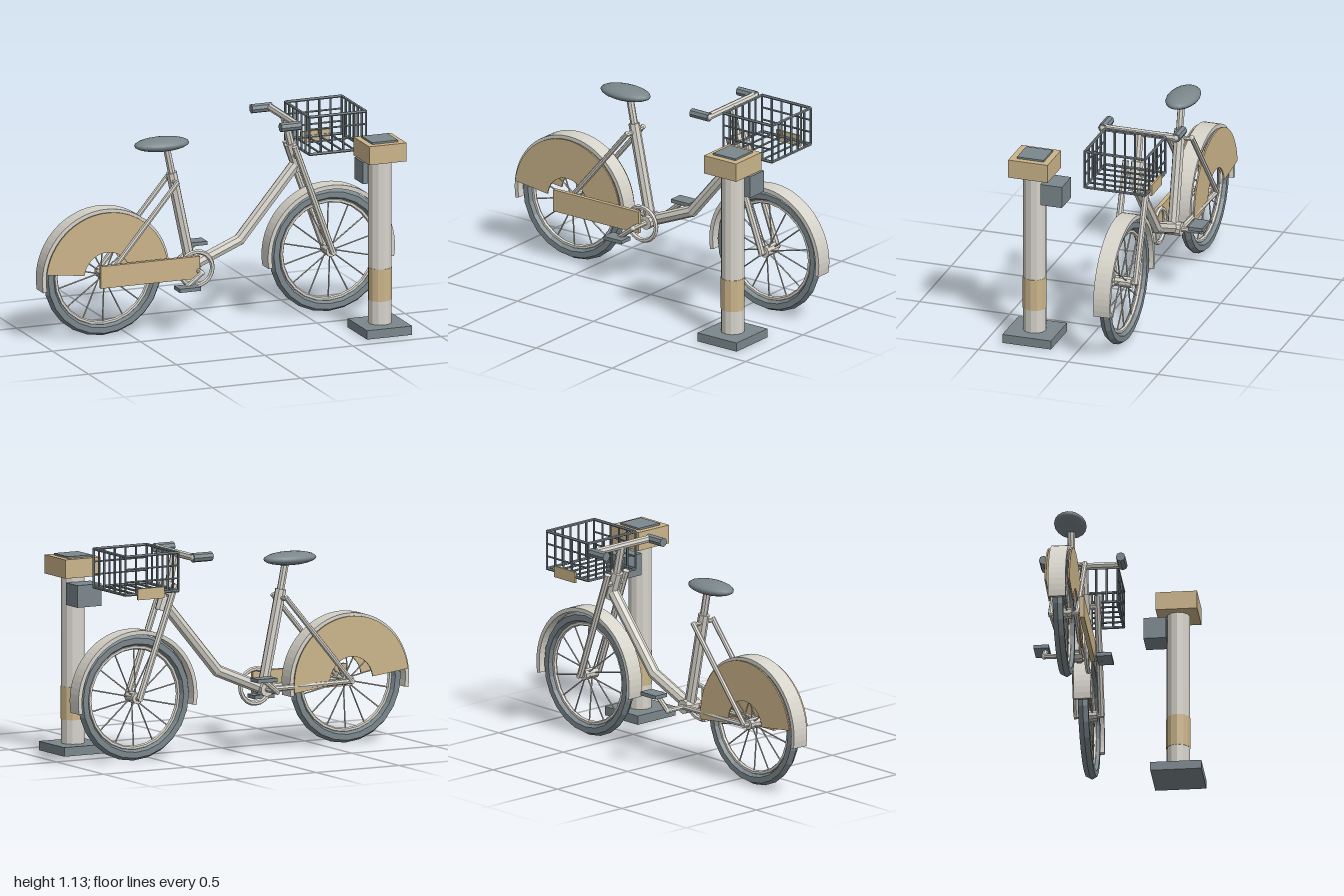
import * as THREE from 'three';

const mat = (name, color) => Object.assign(new THREE.MeshStandardMaterial({ color }), { name });
const V = (x, y, z) => new THREE.Vector3(x, y, z);

export function createModel() {
  const silver = mat('silver', 0xd6d3ca);
  const slate = mat('slate', 0x7b878c);
  const tan = mat('tan', 0xcbb48a);
  const root = new THREE.Group();
  root.name = 'bikeAndDock';

  // faceted normals for the low-poly look
  const facet = (g) => {
    const f = g.index ? g.toNonIndexed() : g;
    f.computeVertexNormals();
    return f;
  };
  const add = (parent, name, geo, material, x = 0, y = 0, z = 0) => {
    const m = new THREE.Mesh(geo, material);
    m.name = name;
    m.position.set(x, y, z);
    parent.add(m);
    return m;
  };
  const group = (name, parent, x = 0, y = 0, z = 0) => {
    const g = new THREE.Group();
    g.name = name;
    g.position.set(x, y, z);
    parent.add(g);
    return g;
  };
  // box from its min and max corners
  const box = (parent, name, material, x0, x1, y0, y1, z0, z1) =>
    add(parent, name, new THREE.BoxGeometry(x1 - x0, y1 - y0, z1 - z0), material,
      (x0 + x1) / 2, (y0 + y1) / 2, (z0 + z1) / 2);
  // straight tube between two points
  const rod = (parent, name, material, a, b, r, sides = 8) => {
    const d = b.clone().sub(a);
    const m = add(parent, name, facet(new THREE.CylinderGeometry(r, r, d.length(), sides)), material);
    m.position.copy(a).add(b).multiplyScalar(0.5);
    m.quaternion.setFromUnitVectors(V(0, 1, 0), d.normalize());
    return m;
  };
  const ball = (parent, name, material, p, r) =>
    add(parent, name, new THREE.SphereGeometry(r, 8, 6), material, p.x, p.y, p.z);
  // flat arc-shaped plate centred on z = 0
  const arcPlate = (r0, r1, a0, a1, depth, segs) => {
    const s = new THREE.Shape();
    s.absarc(0, 0, r1, a0, a1, false);
    s.absarc(0, 0, r0, a1, a0, true);
    s.closePath();
    const g = new THREE.ExtrudeGeometry(s, { depth, bevelEnabled: false, curveSegments: segs });
    return g.translate(0, 0, -depth / 2);
  };

  const bike = group('bicycle', root, 0, 0, -0.185);

  // wheels with tyre, rim, hub, spokes and fender
  for (const [name, x] of [['rearWheel', -0.64], ['frontWheel', 0.64]]) {
    const w = group(name, bike, x, 0.34, 0);
    add(w, 'tyre', facet(new THREE.TorusGeometry(0.304, 0.031, 6, 24)), slate);
    add(w, 'rim', facet(new THREE.TorusGeometry(0.268, 0.012, 6, 24)), silver);
    rod(w, 'hub', silver, V(0, 0, -0.045), V(0, 0, 0.045), 0.03, 10);
    rod(w, 'axle', silver, V(0, 0, -0.08), V(0, 0, 0.08), 0.014);
    for (let i = 0; i < 14; i++) {
      const a = Math.PI / 2 + (i / 14) * Math.PI * 2;
      const side = i % 2 ? 0.02 : -0.02;
      const c = Math.cos(a), s = Math.sin(a);
      rod(w, 'spoke', silver, V(c * 0.025, s * 0.025, side), V(c * 0.265, s * 0.265, 0), 0.004, 5);
    }
    add(w, 'fender', arcPlate(0.338, 0.36, -0.17, Math.PI + 0.17, 0.092, 18), silver);
  }

  // skirt guards on both sides of the rear wheel
  for (const s of [-1, 1])
    add(bike, 'skirtGuard', arcPlate(0.13, 0.345, -0.12, Math.PI - 0.12, 0.008, 18), tan,
      -0.64, 0.34, s * 0.062);

  // frame
  const frame = group('frame', bike);
  const bb = V(-0.14, 0.33, 0), bend = V(0.135, 0.445, 0), neck = V(0.45, 0.82, 0);
  rod(frame, 'lowerTube', silver, bb, bend, 0.032);
  rod(frame, 'downTube', silver, bend, neck, 0.032);
  ball(frame, 'bendJoint', silver, bend, 0.032);
  rod(frame, 'seatTube', silver, bb, V(-0.25, 0.85, 0), 0.03);
  rod(frame, 'seatPost', silver, V(-0.245, 0.83, 0), V(-0.28, 1.0, 0), 0.02);
  rod(frame, 'bottomBracket', silver, V(-0.14, 0.33, -0.05), V(-0.14, 0.33, 0.05), 0.038, 10);
  for (const s of [-1, 1]) {
    rod(frame, 'seatStay', silver, V(-0.64, 0.34, s * 0.07), V(-0.24, 0.815, s * 0.07), 0.014);
    rod(frame, 'chainStay', silver, V(-0.64, 0.34, s * 0.065), V(-0.14, 0.33, s * 0.045), 0.015);
  }
  rod(frame, 'stayBridge', silver, V(-0.245, 0.805, -0.07), V(-0.245, 0.805, 0.07), 0.012);

  // saddle
  add(bike, 'saddle', new THREE.SphereGeometry(1, 18, 12), slate, -0.305, 1.01, 0)
    .scale.set(0.153, 0.036, 0.085);

  // fork, stem and handlebar
  const steering = group('steering', bike);
  rod(steering, 'headTube', silver, V(0.475, 0.79, 0), V(0.424, 0.94, 0), 0.034);
  rod(steering, 'stem', silver, V(0.43, 0.92, 0), V(0.39, 1.09, 0), 0.022);
  rod(steering, 'forkCrown', silver, V(0.445, 0.88, -0.065), V(0.445, 0.88, 0.065), 0.018);
  rod(steering, 'handlebar', silver, V(0.39, 1.09, -0.203), V(0.39, 1.09, 0.203), 0.02);
  for (const s of [-1, 1]) {
    rod(steering, 'forkBlade', silver, V(0.64, 0.34, s * 0.065), V(0.424, 0.935, s * 0.065), 0.018);
    ball(steering, 'barEnd', silver, V(0.39, 1.09, s * 0.203), 0.02);
    rod(steering, 'grip', slate, V(0.285, 1.09, s * 0.203), V(0.4, 1.09, s * 0.203), 0.025);
  }

  // wire basket
  const basket = group('basket', bike);
  const X0 = 0.465, X1 = 0.785, Y0 = 0.915, Y1 = 1.118, Z = 0.168;
  for (const y of [Y0, Y1]) {
    for (const z of [-Z, Z]) rod(basket, 'basketRail', slate, V(X0, y, z), V(X1, y, z), 0.008, 6);
    for (const x of [X0, X1]) rod(basket, 'basketRail', slate, V(x, y, -Z), V(x, y, Z), 0.008, 6);
  }
  for (let i = 0; i <= 5; i++) {
    const x = X0 + ((X1 - X0) * i) / 5;
    for (const z of [-Z, Z]) rod(basket, 'sideWire', slate, V(x, Y0, z), V(x, Y1, z), 0.006, 6);
    rod(basket, 'floorWire', slate, V(x, Y0, -Z), V(x, Y0, Z), 0.006, 6);
  }
  for (let i = 1; i < 6; i++) {
    const z = -Z + (2 * Z * i) / 6;
    for (const x of [X0, X1]) rod(basket, 'endWire', slate, V(x, Y0, z), V(x, Y1, z), 0.006, 6);
  }
  for (const t of [1 / 3, 2 / 3])
    for (const z of [-Z, Z]) {
      const y = Y0 + (Y1 - Y0) * t;
      rod(basket, 'crossWire', slate, V(X0, y, z), V(X1, y, z), 0.005, 6);
    }
  box(basket, 'basketPlate', tan, 0.555, 0.715, 0.885, 0.945, -0.181, -0.169);

  // drivetrain
  const drive = group('drivetrain', bike);
  box(drive, 'chainGuard', tan, -0.695, -0.135, 0.29, 0.41, 0.09, 0.114);
  add(drive, 'chainring', facet(new THREE.TorusGeometry(0.092, 0.013, 6, 20)), silver, -0.14, 0.333, 0.075);
  rod(drive, 'crankAxle', silver, V(-0.14, 0.33, -0.155), V(-0.14, 0.33, 0.158), 0.014);
  for (const s of [-1, 1]) {
    const p = V(-0.14 - s * 0.09, 0.333 - s * 0.072, s * 0.157);
    const c = V(-0.14, 0.33, s * 0.157);
    rod(drive, 'crankArm', silver, c, p, 0.014);
    ball(drive, 'crankJoint', silver, c, 0.014);
    add(drive, 'pedal', new THREE.BoxGeometry(0.118, 0.02, 0.08), slate, p.x, p.y, s * 0.175);
  }

  // docking post
  const dock = group('dockingPost', root);
  box(dock, 'base', slate, 0.617, 0.873, 0, 0.048, 0.14, 0.41);
  add(dock, 'post', facet(new THREE.CylinderGeometry(0.062, 0.062, 0.9, 12)), silver, 0.745, 0.495, 0.275);
  add(dock, 'postBand', facet(new THREE.CylinderGeometry(0.064, 0.064, 0.175, 12)), tan, 0.745, 0.263, 0.275);
  box(dock, 'head', tan, 0.64, 0.852, 0.94, 1.04, 0.166, 0.385);
  box(dock, 'screen', slate, 0.672, 0.818, 1.04, 1.05, 0.2, 0.348);
  box(dock, 'lockBox', slate, 0.672, 0.818, 0.792, 0.91, 0.098, 0.218);

  return root;
}
